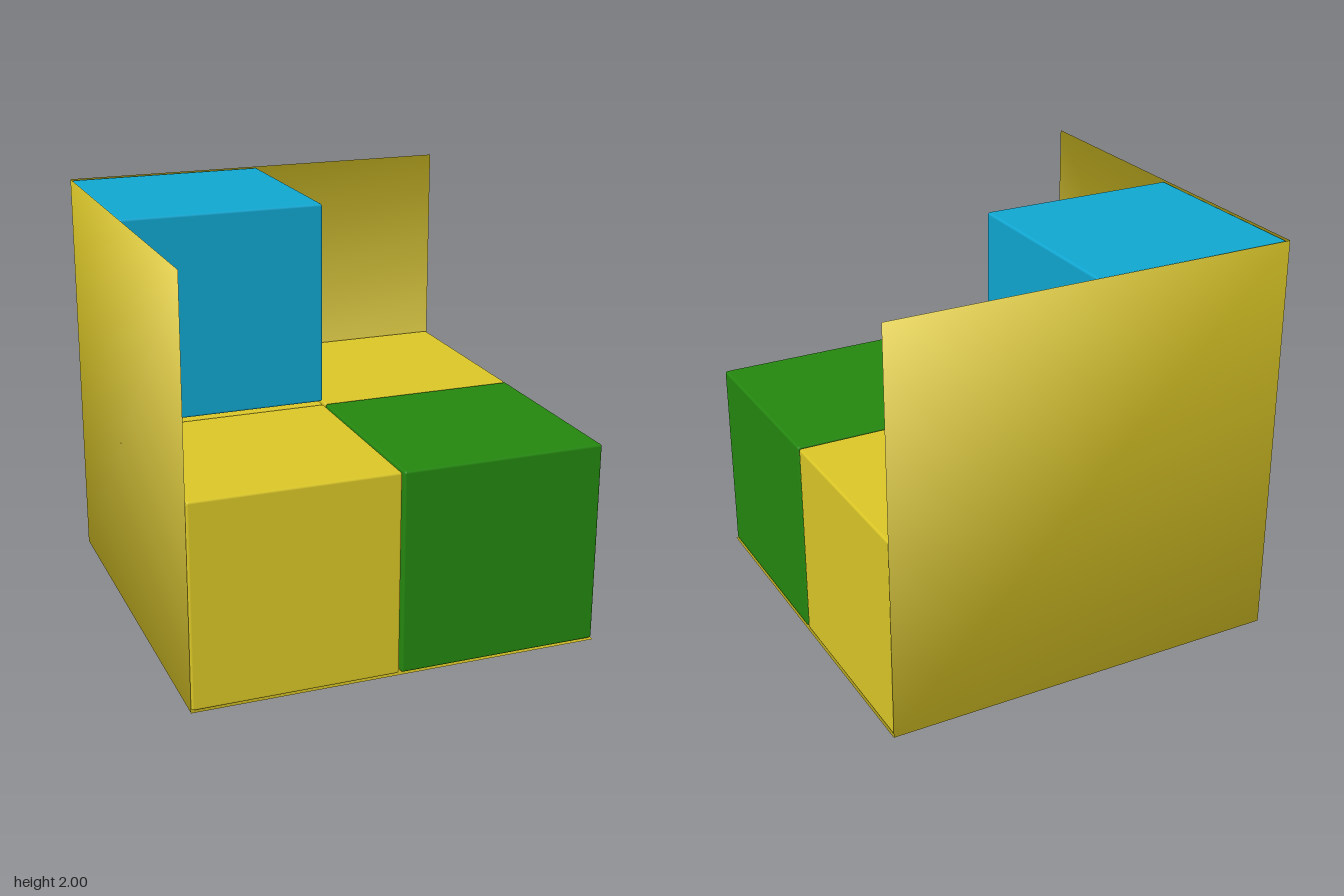
import * as THREE from 'three';
import { RoundedBoxGeometry } from 'three/addons/geometries/RoundedBoxGeometry.js';

const material = (name, color, side = THREE.FrontSide) =>
  new THREE.MeshStandardMaterial({ name, color, side });

// Three thin square panels meeting at one corner, softly shaded as one shell
function cornerShell() {
  const corners = [];
  for (const y of [0, 2]) for (const z of [-1, 1]) for (const x of [-1, 1]) corners.push([x, y, z]);
  const panels = [
    [0, 1, 3, 2], // floor
    [1, 0, 4, 5], // back
    [0, 2, 6, 4], // side
  ];
  const index = panels.flatMap(([a, b, c, d]) => [a, b, c, a, c, d]);
  // normals point away from the middle of the cube
  const normals = corners.flatMap(([x, y, z]) => new THREE.Vector3(x, y - 1, z).normalize().toArray());
  const geometry = new THREE.BufferGeometry();
  geometry.setAttribute('position', new THREE.Float32BufferAttribute(corners.flat(), 3));
  geometry.setAttribute('normal', new THREE.Float32BufferAttribute(normals, 3));
  geometry.setIndex(index);
  return geometry;
}

export function createModel() {
  const group = new THREE.Group();
  group.name = 'stackedCubes';

  const yellow = material('yellow', 0xd9c526);
  const yellowPanel = yellow.clone();
  yellowPanel.side = THREE.DoubleSide;
  const blue = material('blue', 0x10a6d0);
  const green = material('green', 0x24860f);

  const walls = new THREE.Mesh(cornerShell(), yellowPanel);
  walls.name = 'cornerWalls';
  group.add(walls);

  // Cubes with slightly rounded edges, one per octant
  const cube = new RoundedBoxGeometry(0.99, 0.99, 0.99, 2, 0.012);
  const cubes = [
    ['topCube', blue, -0.5, 1.5, -0.5],
    ['frontCube', green, 0.5, 0.5, 0.5],
    ['frontSideCube', yellow, -0.5, 0.5, 0.5],
    ['backSideCube', yellow, 0.5, 0.5, -0.5],
    ['supportCube', yellow, -0.5, 0.5, -0.5],
  ];
  for (const [name, mat, x, y, z] of cubes) {
    const mesh = new THREE.Mesh(cube, mat);
    mesh.name = name;
    mesh.position.set(x, y, z);
    group.add(mesh);
  }
  return group;
}
